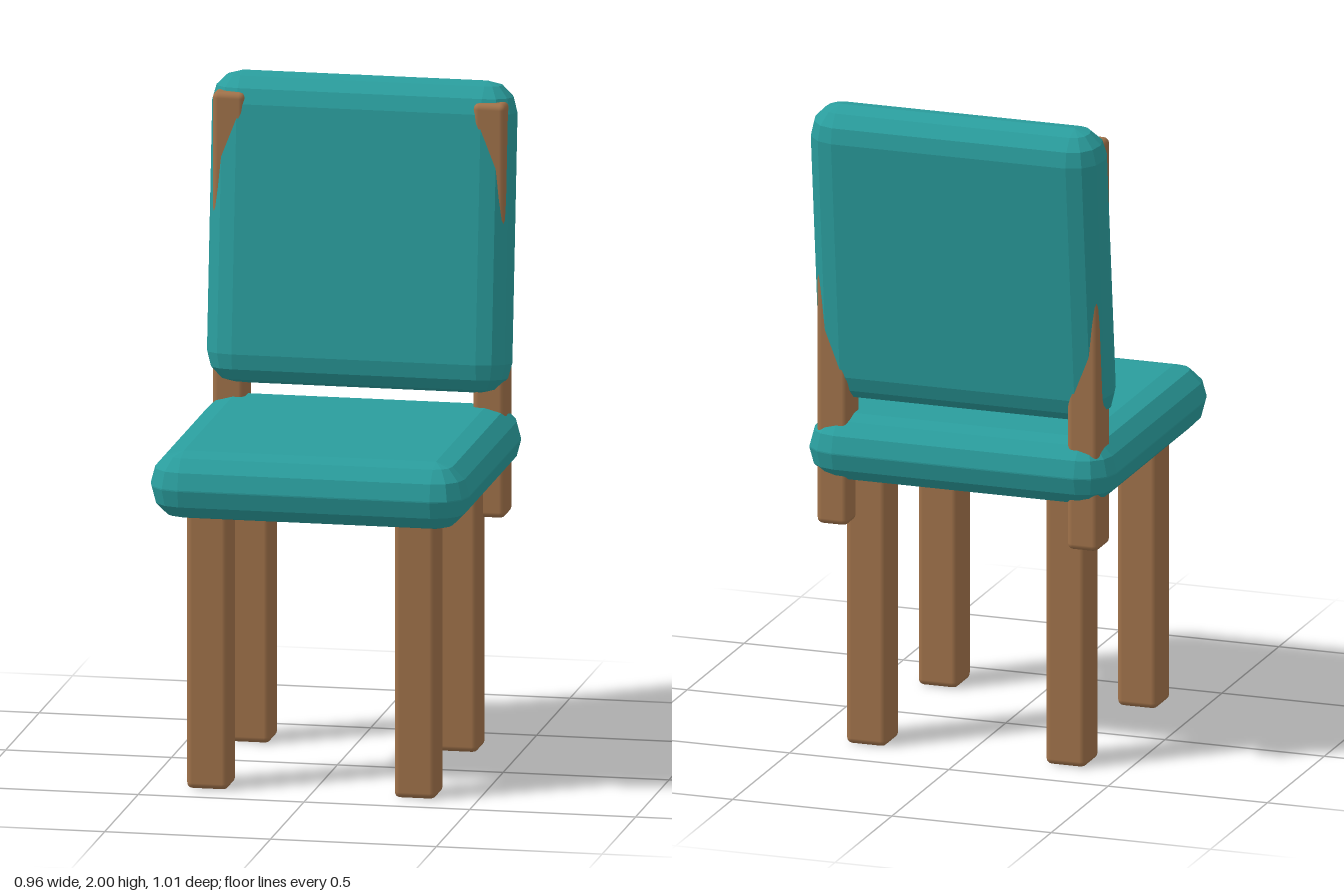
import * as THREE from 'three';
import { ConvexGeometry } from 'three/addons/geometries/ConvexGeometry.js';
import { RoundedBoxGeometry } from 'three/addons/geometries/RoundedBoxGeometry.js';

const fabric = new THREE.MeshStandardMaterial({ color: 0x2a9d9d, flatShading: true });
const wood = new THREE.MeshStandardMaterial({ color: 0xa0724a });

// Cushion: box whose edges are quarter rounds of three facets
function cushionGeometry(w, h, d, r) {
  const points = [];
  const step = Math.PI / 6;
  for (const sx of [-1, 1]) for (const sy of [-1, 1]) for (const sz of [-1, 1]) {
    for (let i = 0; i <= 3; i++) {
      for (let j = 0; j <= (i === 3 ? 0 : 3); j++) {
        const c = Math.cos(i * step) * r;
        points.push(new THREE.Vector3(
          sx * (w / 2 - r + c * Math.cos(j * step)),
          sy * (h / 2 - r + Math.sin(i * step) * r),
          sz * (d / 2 - r + c * Math.sin(j * step))
        ));
      }
    }
  }
  return new ConvexGeometry(points);
}

export function createModel() {
  const chair = new THREE.Group();
  chair.name = 'chair';

  const add = (name, geometry, material, x, y, z) => {
    const mesh = new THREE.Mesh(geometry, material);
    mesh.name = name;
    mesh.position.set(x, y, z);
    chair.add(mesh);
    return mesh;
  };

  // Cushions
  add('seat', cushionGeometry(0.96, 0.204, 0.977, 0.1), fabric, 0, 0.927, 0.02);
  const back = add('backrest', cushionGeometry(0.92, 0.93, 0.188, 0.092), fabric, 0, 1.535, -0.373);
  back.rotation.x = -THREE.MathUtils.degToRad(6);

  // Legs and back posts, mirrored left and right
  const legGeometry = new RoundedBoxGeometry(0.126, 0.9, 0.126, 2, 0.018);
  const postGeometry = new RoundedBoxGeometry(0.098, 1.255, 0.116, 2, 0.018);
  for (const [side, s] of [['left', 1], ['right', -1]]) {
    add(side + 'FrontLeg', legGeometry, wood, s * 0.313, 0.45, 0.336);
    add(side + 'RearLeg', legGeometry, wood, s * 0.313, 0.45, -0.293);
    add(side + 'BackPost', postGeometry, wood, s * 0.393, 1.322, -0.372);
  }
  return chair;
}
